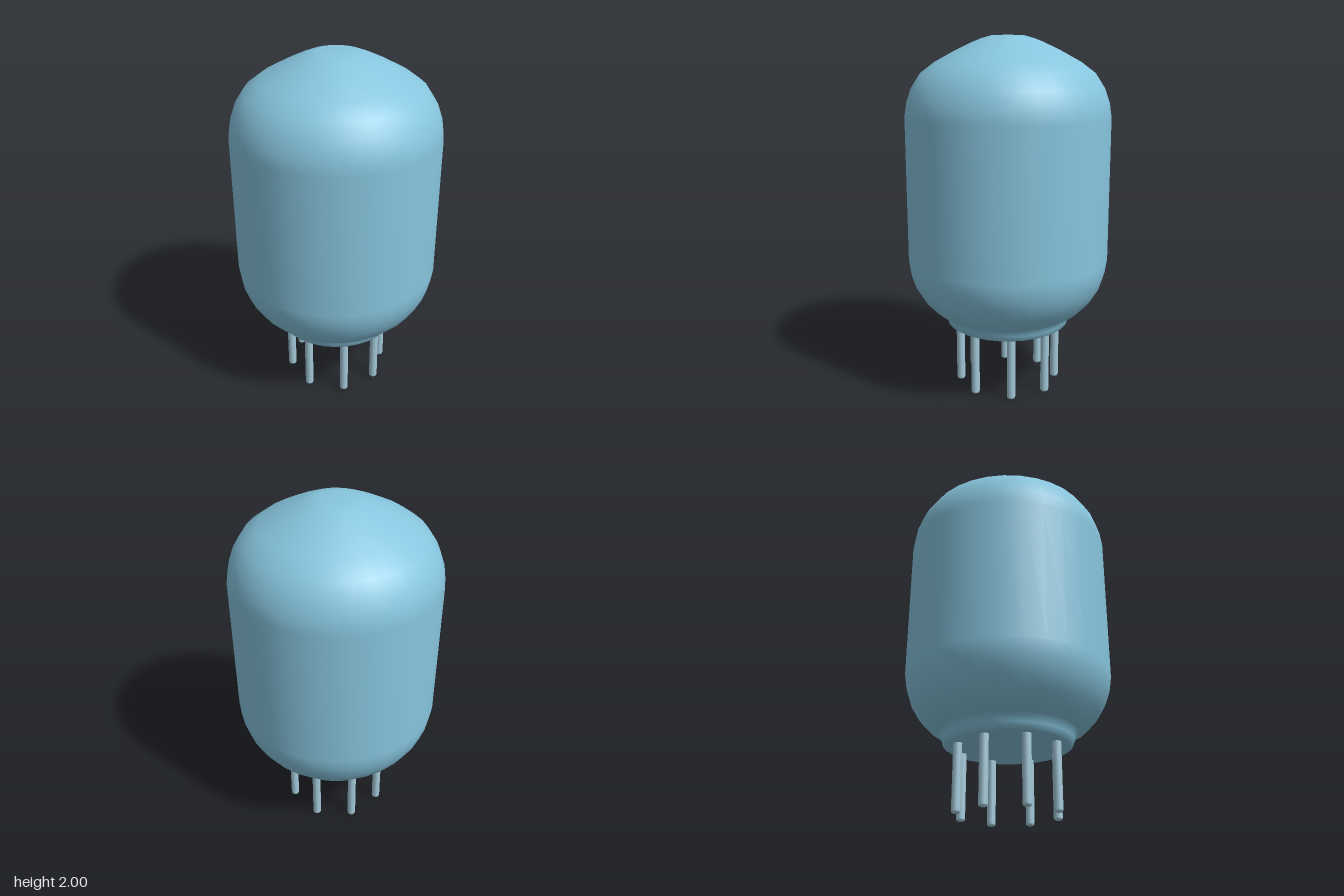
import * as THREE from 'three';

const SEGMENTS = 32;

function lathe(name, points, segments, material) {
  const profile = points.map(([r, y]) => new THREE.Vector2(r, y));
  const mesh = new THREE.Mesh(new THREE.LatheGeometry(profile, segments), material);
  mesh.name = name;
  return mesh;
}

export function createModel() {
  const model = new THREE.Group();
  model.name = 'vacuumTube';
  const glass = new THREE.MeshStandardMaterial({ color: 0x87c5de });
  const metal = new THREE.MeshStandardMaterial({ color: 0xa2c8d8 });

  // Envelope: stepped foot, rounded shoulders, straight wall and shallow dome
  model.add(lathe('envelope', [
    [0.335, 0.365], [0.35, 0.375], [0.358, 0.40], [0.368, 0.428], [0.385, 0.443],
    [0.43, 0.468], [0.49, 0.53], [0.535, 0.605], [0.56, 0.68], [0.572, 0.76],
    [0.572, 1.56], [0.56, 1.64], [0.532, 1.72], [0.48, 1.80], [0.40, 1.86],
    [0.29, 1.92], [0.20, 1.963], [0.145, 1.985], [0.09, 2.0], [0, 2.0],
  ], SEGMENTS, glass));

  // Flat underside of the foot
  const base = new THREE.Mesh(new THREE.CircleGeometry(0.335, SEGMENTS), glass);
  base.name = 'baseDisc';
  base.rotation.x = Math.PI / 2;
  base.position.y = 0.365;
  model.add(base);

  // Ring of eight contact pins with rounded tips
  const pins = new THREE.Group();
  pins.name = 'pins';
  for (let i = 0; i < 8; i++) {
    const angle = (i / 8) * Math.PI * 2;
    const pin = lathe('pin', [
      [0, 0], [0.016, 0.001], [0.022, 0.006], [0.024, 0.014], [0.024, 0.37],
    ], 16, metal);
    pin.position.set(0.28 * Math.cos(angle), 0, 0.28 * Math.sin(angle));
    pins.add(pin);
  }
  model.add(pins);
  return model;
}
